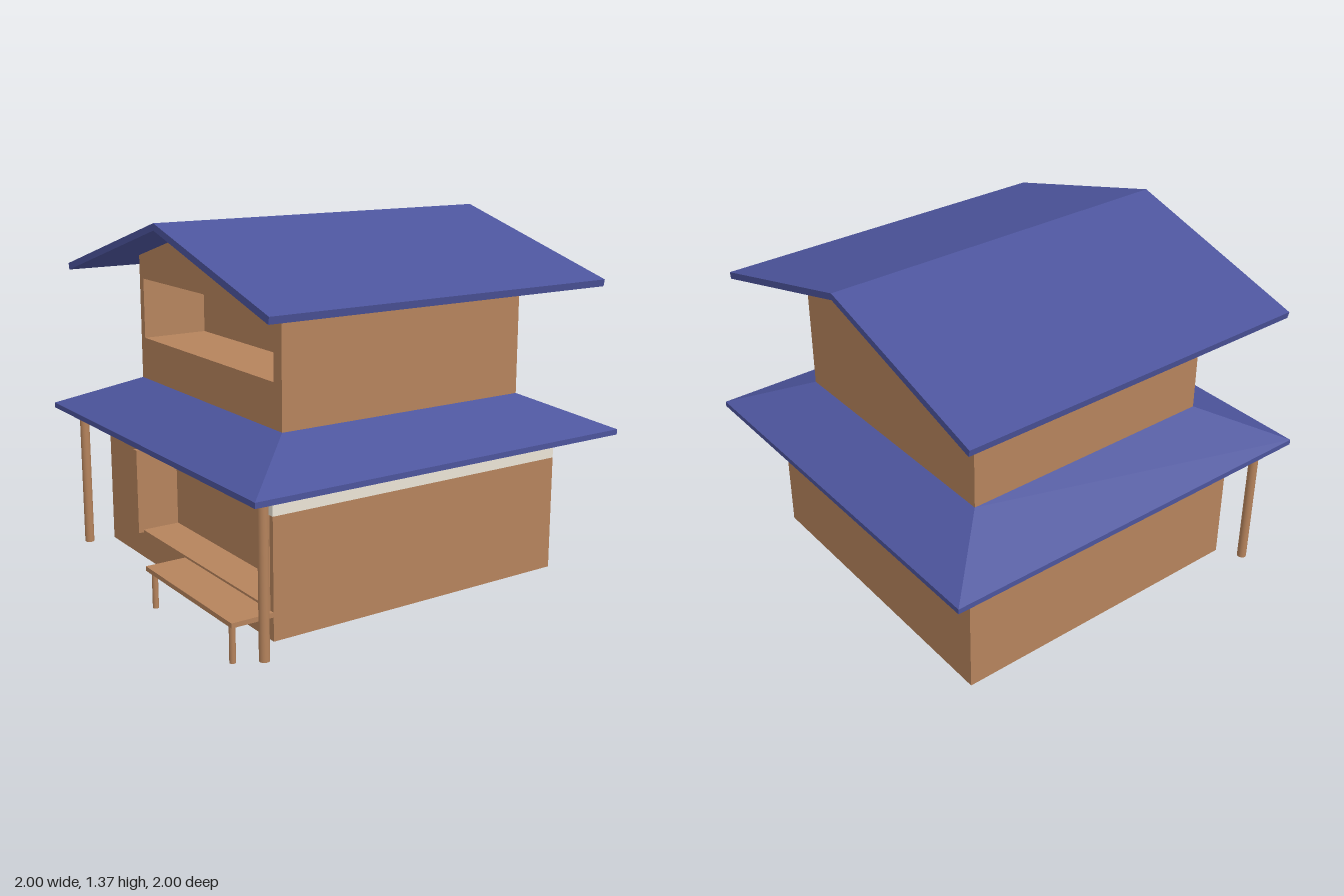
import * as THREE from 'three';

const wood = new THREE.MeshStandardMaterial({ color: 0xb5835c });
const roofBlue = new THREE.MeshStandardMaterial({ color: 0x4c549c });
const plaster = new THREE.MeshStandardMaterial({ color: 0xebe4d6 });

export function createModel() {
  const house = new THREE.Group();
  house.name = 'house';

  const add = (name, geometry, material, x = 0, y = 0, z = 0) => {
    const mesh = new THREE.Mesh(geometry, material);
    mesh.name = name;
    mesh.position.set(x, y, z);
    house.add(mesh);
    return mesh;
  };

  // Box given by its limits
  const box = (name, material, x0, x1, y0, y1, z0, z1) =>
    add(name, new THREE.BoxGeometry(x1 - x0, y1 - y0, z1 - z0), material,
      (x0 + x1) / 2, (y0 + y1) / 2, (z0 + z1) / 2);

  const extrude = (points, depth) => new THREE.ExtrudeGeometry(
    new THREE.Shape(points.map(([a, b]) => new THREE.Vector2(a, b))),
    { depth, bevelEnabled: false });

  // Storey with a square plan and a recess cut into its -x side
  const recessedStorey = (name, half, y0, y1, z0, z1, depth) => {
    const inner = -half + depth;
    const plan = [[-half, -half], [half, -half], [half, half], [-half, half],
      [-half, -z0], [inner, -z0], [inner, -z1], [-half, -z1]];
    add(name, extrude(plan, y1 - y0).rotateX(-Math.PI / 2), wood, 0, y0, 0);
  };

  // Cross-section in z and y, swept along x about the centre
  const sweepX = (name, points, length, material) =>
    add(name, extrude(points, length).translate(0, 0, -length / 2).rotateY(Math.PI / 2), material);

  // Ground floor
  const low = 0.612;
  box('groundFloorBase', wood, -low, low, 0.05, 0.16, -low, low);
  recessedStorey('groundFloorWalls', low, 0.16, 0.48, -0.34, 0.58, 0.15);
  box('plasterBand', plaster, -low, low, 0.48, 0.64, -low, low);
  for (const z of [-0.35, 0.58]) {
    box('doorJamb', wood, -low - 0.02, -low + 0.01, 0.15, 0.48, z - 0.012, z + 0.012);
  }

  // Sloping skirt roof around the house
  const skirtProfile = [[0.5, 0.69], [0.773, 0.58], [0.773, 0.6], [0.51, 0.72], [0, 0.72]]
    .map(([r, y]) => new THREE.Vector2(r * Math.SQRT2, y));
  const skirt = new THREE.LatheGeometry(skirtProfile, 4).rotateY(Math.PI / 4).toNonIndexed();
  skirt.computeVertexNormals();
  add('skirtRoof', skirt, roofBlue);

  // Upper floor with balcony recess and gable
  const up = 0.51;
  box('upperFloorBase', wood, -up, up, 0.7, 0.88, -up, up);
  recessedStorey('upperFloorWalls', up, 0.88, 1.11, -0.48, 0.46, 0.26);
  sweepX('gable', [[-up, 1.11], [up, 1.11], [up, 1.2], [0, 1.345], [-up, 1.2]], 2 * up, wood);

  // Main gable roof
  sweepX('mainRoof', [[0, 1.345], [0.74, 1.13], [0.745, 1.155], [0, 1.37],
    [-0.745, 1.155], [-0.74, 1.13]], 1.4, roofBlue);

  // Porch posts
  for (const side of [-1, 1]) {
    add('porchPost', new THREE.CylinderGeometry(0.018, 0.018, 0.59, 16), wood, -0.69, 0.325, 0.68 * side);
  }

  // Veranda bench
  box('benchSeat', wood, -0.77, -0.6, 0.135, 0.152, 0, 0.612);
  for (const z of [0.03, 0.58]) {
    add('benchLeg', new THREE.CylinderGeometry(0.011, 0.011, 0.14, 12), wood, -0.75, 0.07, z);
  }

  // The whole house stands turned on its plot
  house.rotation.y = THREE.MathUtils.degToRad(21.25);
  const model = new THREE.Group();
  model.name = 'model';
  model.add(house);
  return model;
}
